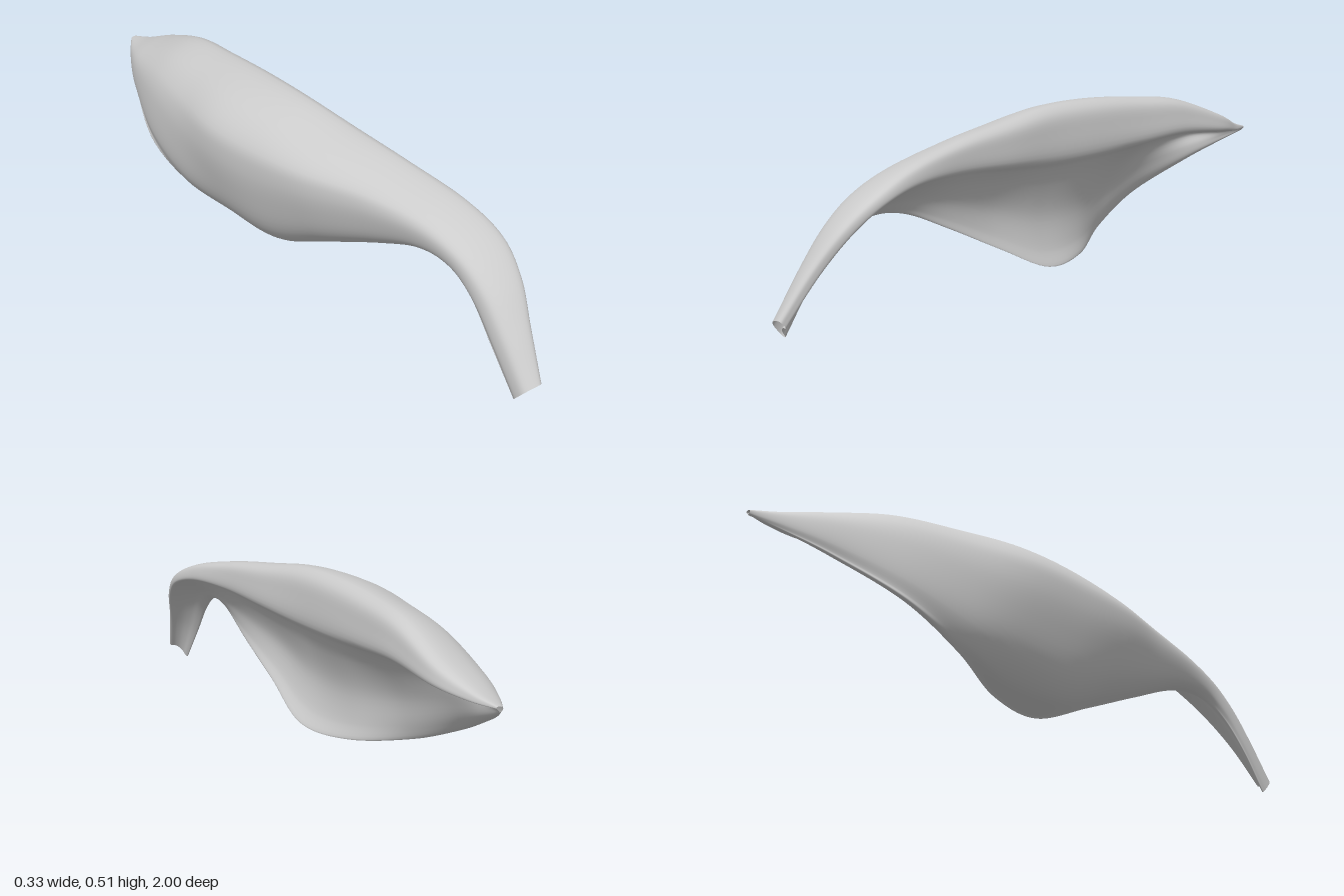
import * as THREE from 'three';

const lerp = THREE.MathUtils.lerp;

// Stations from tip to stalk end:
// [zTop, yTop, zBottom, yBottom, xMin, xMax, xBottom, hollow]
const STATIONS = [
  [-1, 0.35, -1, 0.335, 0.05, 0.07, 0.06, 0],
  [-0.92, 0.37, -0.92, 0.295, -0.005, 0.095, 0.01, 0.7],
  [-0.8, 0.415, -0.8, 0.24, -0.065, 0.125, -0.045, 0.85],
  [-0.6, 0.478, -0.6, 0.15, -0.128, 0.117, -0.105, 0.6],
  [-0.4, 0.5, -0.4, 0.07, -0.16, 0.105, -0.08, 0.35],
  [-0.2, 0.51, -0.2, 0.025, -0.17, 0.1, 0.015, 0.25],
  [0, 0.505, 0, 0.025, -0.155, 0.1, 0.065, 0.3],
  [0.2, 0.478, 0.2, 0.11, -0.12, 0.115, 0.06, 0.3],
  [0.4, 0.45, 0.4, 0.2, -0.06, 0.13, 0.06, 0.2],
  [0.6, 0.41, 0.56, 0.265, -0.02, 0.155, 0.05, 0.15],
  [0.74, 0.355, 0.68, 0.27, 0, 0.165, 0.04, 0.2],
  [0.84, 0.28, 0.775, 0.215, 0.01, 0.145, 0.03, 0.3],
  [0.92, 0.18, 0.86, 0.12, 0.015, 0.11, 0.025, 0.4],
  [1, 0.06, 0.95, 0, 0.02, 0.08, 0.03, 0.5],
];

// Upper rim and top of the blade: [width share, height share]
const TOP = [[1, 0.68], [1, 0.83], [0.95, 0.95], [0.8, 1]];
// Outer wall down to the keel: [share where flared, share where tucked under, height share]
const WALL = [[0.45, 0.3, 0.91], [0.22, 0.04, 0.76], [0.11, 0.01, 0.62], [0.04, 0.08, 0.41], [0.01, 0.25, 0.17], [0.02, 0.48, 0.05]];
// Inner wall from the keel up to the rim: [outer wall share, height share, shallow factor, deep factor]
const INNER = [[0.35, 0.1, 0.6, 0.75], [0.17, 0.3, 1, 0.85], [0.12, 0.5, 0.5, 1.1], [0.22, 0.62, 0.05, 1.1]];

// Closed folded cross-section at one station
function section([zT, yT, zB, yB, xMin, xMax, xB, hollow]) {
  const at = (x, b) => new THREE.Vector3(x, lerp(yB, yT, b), lerp(zB, zT, b));
  const w = xMax - xMin;
  const tuck = Math.min(1, (xB - xMin) / (0.75 * w));
  const points = TOP.map(([a, b]) => at(xMin + a * w, b));
  for (const [flared, tucked, b] of WALL) points.push(at(xMin + lerp(flared, tucked, tuck) * w, b));
  points.push(at(xB - 0.02 * w, 0.01), at(xB + 0.02 * w, 0));
  for (const [a, b, shallow, deep] of INNER) {
    const flush = lerp(xB, xMax, b / 0.68);
    const depth = hollow * lerp(shallow, deep, hollow);
    points.push(at(lerp(flush, Math.min(flush, xMin + a * w), depth), b));
  }
  return new THREE.CatmullRomCurve3(points, true, 'centripetal');
}

// Smooth skin through all cross-sections
function foldedLeafGeometry(around = 80, along = 130) {
  const loops = STATIONS.map((s) => {
    const curve = section(s);
    return Array.from({ length: around }, (_, j) => curve.getPoint(j / around));
  });
  const rails = Array.from({ length: around }, (_, j) =>
    new THREE.CatmullRomCurve3(loops.map((l) => l[j]), false, 'catmullrom', 0.5));
  const positions = [];
  const index = [];
  for (let i = 0; i <= along; i++) {
    for (const rail of rails) {
      const p = rail.getPoint(i / along);
      positions.push(p.x, Math.max(0, p.y), p.z);
    }
  }
  for (let i = 0; i < along; i++) {
    for (let j = 0; j < around; j++) {
      const k = (j + 1) % around;
      const a = i * around + j, b = i * around + k;
      const c = a + around, d = b + around;
      index.push(a, b, c, b, d, c);
    }
  }
  const geometry = new THREE.BufferGeometry();
  geometry.setAttribute('position', new THREE.Float32BufferAttribute(positions, 3));
  geometry.setIndex(index);
  geometry.computeVertexNormals();
  return geometry;
}

export function createModel() {
  const group = new THREE.Group();
  group.name = 'foldedLeaf';
  // Blade and stalk are one continuous skin, open at the stalk end
  const material = new THREE.MeshStandardMaterial({ color: 0xcccccc, side: THREE.DoubleSide });
  const leaf = new THREE.Mesh(foldedLeafGeometry(), material);
  leaf.name = 'bladeAndStalk';
  group.add(leaf);
  return group;
}
